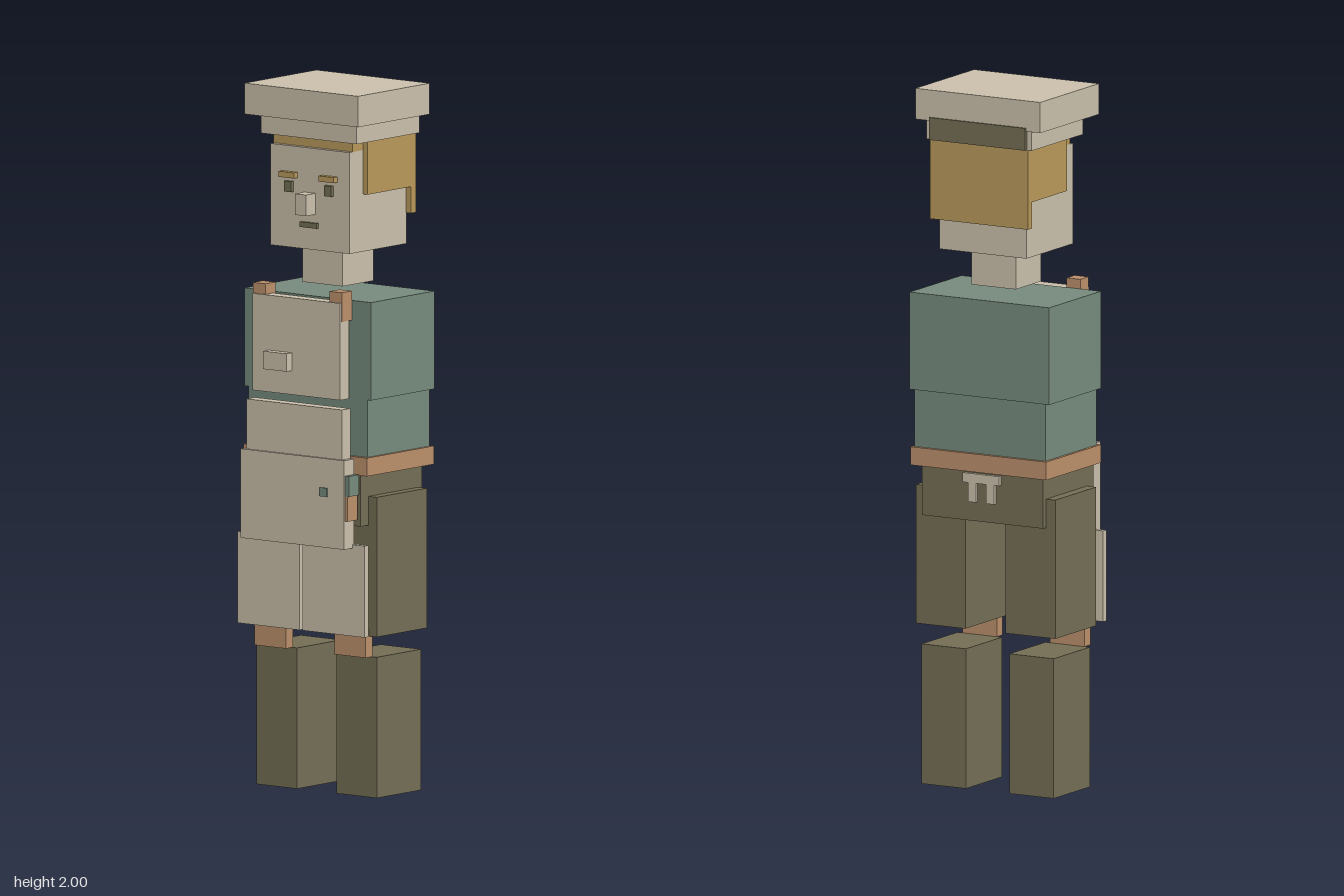
import * as THREE from 'three';

const material = (name, color) => {
  const m = new THREE.MeshStandardMaterial({ color });
  m.name = name;
  return m;
};

export function createModel() {
  const tan = material('tan', 0xc9bfaa);
  const leather = material('leather', 0xba8f6b);
  const green = material('green', 0x758a7c);
  const brown = material('brown', 0x736d54);
  const gold = material('gold', 0xb8985a);

  const model = new THREE.Group();
  model.name = 'workman';

  // Box given by its [min, max] extents on each axis
  const box = (name, mat, [x0, x1], [y0, y1], [z0, z1]) => {
    const mesh = new THREE.Mesh(new THREE.BoxGeometry(x1 - x0, y1 - y0, z1 - z0), mat);
    mesh.position.set((x0 + x1) / 2, (y0 + y1) / 2, (z0 + z1) / 2);
    mesh.name = name;
    model.add(mesh);
  };
  // Box centred on x = 0
  const mid = (name, mat, halfWidth, y, z) => box(name, mat, [-halfWidth, halfWidth], y, z);
  // Box mirrored to both sides
  const pair = (name, mat, [x0, x1], y, z) => {
    box(name + 'Left', mat, [x0, x1], y, z);
    box(name + 'Right', mat, [-x1, -x0], y, z);
  };

  // Legs
  pair('boot', brown, [0.071, 0.216], [0, 0.4], [-0.129, 0.07]);
  pair('thigh', brown, [0.066, 0.228], [0.46, 0.857], [-0.14, 0.085]);
  pair('kneeStrap', leather, [0.087, 0.2], [0.4, 0.48], [0.069, 0.1]);
  pair('legApron', tan, [0.006, 0.228], [0.465, 0.725], [0.123, 0.141]);

  // Hips and belt
  mid('hips', brown, 0.198, [0.775, 0.92], [-0.156, 0.12]);
  mid('belt', leather, 0.222, [0.92, 0.972], [-0.18, 0.122]);
  mid('backTieBar', tan, 0.06, [0.885, 0.912], [-0.166, -0.154]);
  pair('backTieEnd', tan, [0.017, 0.043], [0.83, 0.886], [-0.165, -0.154]);

  // Shirt
  mid('shirtLower', green, 0.214, [0.972, 1.135], [-0.17, 0.11]);
  mid('shirtUpper', green, 0.228, [1.135, 1.413], [-0.174, 0.111]);

  // Apron
  mid('bib', tan, 0.158, [1.135, 1.41], [0.122, 0.162]);
  pair('bibStrap', leather, [0.115, 0.16], [1.357, 1.44], [0.112, 0.157]);
  box('chestPocket', tan, [-0.1, -0.016], [1.203, 1.254], [0.16, 0.187]);
  mid('apronWaist', tan, 0.172, [0.968, 1.11], [0.134, 0.172]);
  mid('apronSkirt', tan, 0.186, [0.715, 0.968], [0.135, 0.18]);
  box('apronButton', green, [0.1, 0.126], [0.86, 0.885], [0.178, 0.184]);
  box('sidePouch', green, [0.18, 0.2], [0.866, 0.924], [0.13, 0.176]);
  box('sideTool', leather, [0.18, 0.195], [0.795, 0.866], [0.13, 0.175]);

  // Head and face
  mid('neck', tan, 0.072, [1.437, 1.542], [-0.095, 0.045]);
  mid('head', tan, 0.142, [1.542, 1.83], [-0.155, 0.101]);
  pair('eye', brown, [0.059, 0.085], [1.7, 1.73], [0.1, 0.112]);
  pair('eyebrow', gold, [0.044, 0.099], [1.741, 1.757], [0.1, 0.118]);
  mid('nose', tan, 0.02, [1.643, 1.703], [0.1, 0.143]);
  mid('mouth', brown, 0.031, [1.604, 1.619], [0.1, 0.109]);

  // Hair
  mid('hairTop', gold, 0.142, [1.83, 1.857], [-0.155, 0.086]);
  pair('hairSide', gold, [0.14, 0.159], [1.705, 1.857], [-0.165, 0.04]);
  mid('hairBack', gold, 0.16, [1.63, 1.857], [-0.176, -0.154]);

  // Hat
  mid('hatBand', tan, 0.172, [1.857, 1.912], [-0.176, 0.106]);
  mid('hatBackStrip', brown, 0.157, [1.858, 1.922], [-0.188, -0.172]);
  mid('hatCrown', tan, 0.204, [1.912, 2], [-0.183, 0.14]);

  return model;
}
